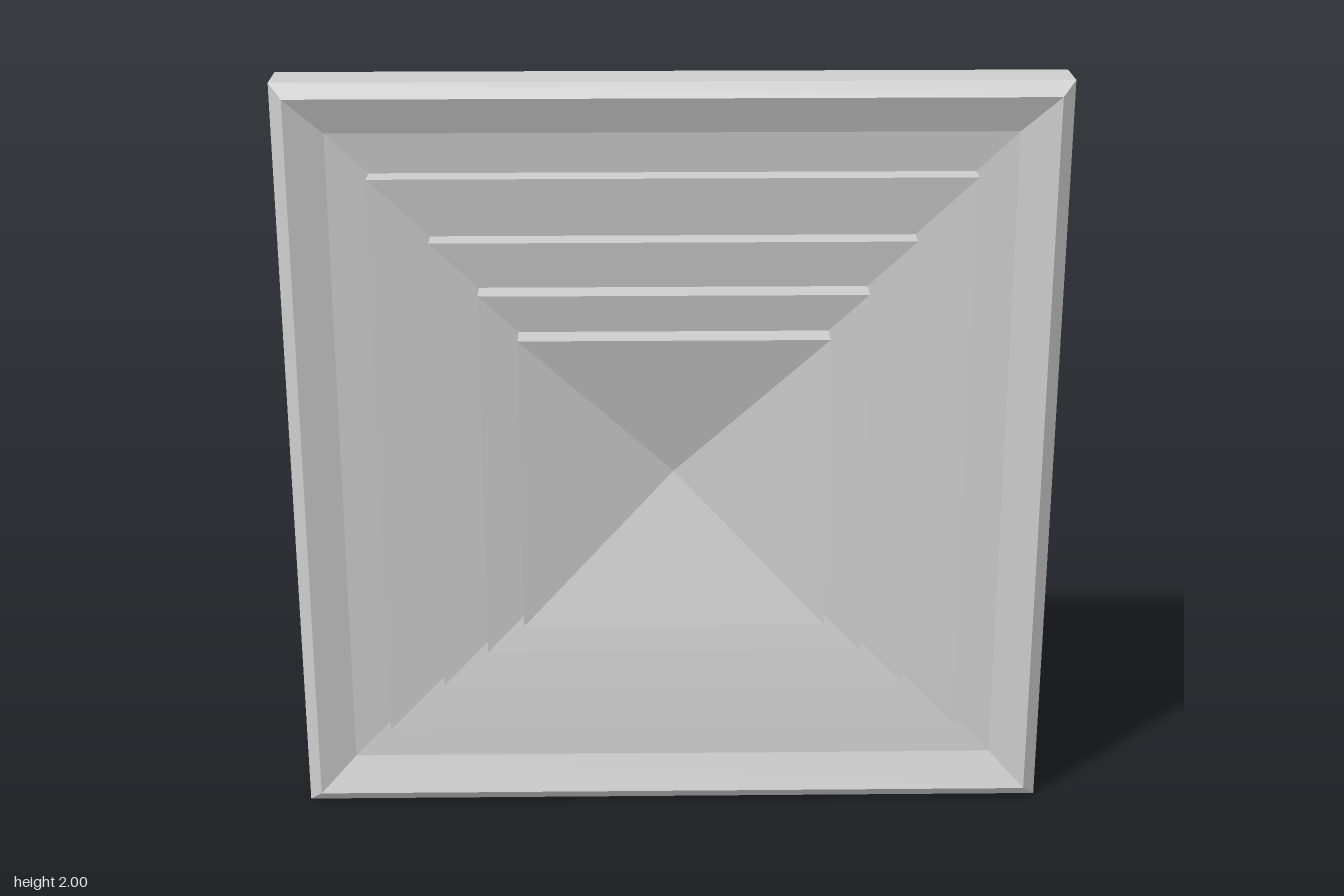
import * as THREE from 'three';

const stone = new THREE.MeshStandardMaterial({ color: 0xcccccc, flatShading: true });
stone.name = 'light grey';

// Square turning: sweeps a profile of [half width, depth z], back to front, around the z axis
function squareRing(name, profile) {
  const points = profile.map(([half, z]) => new THREE.Vector2(half * Math.SQRT2, z));
  const geometry = new THREE.LatheGeometry(points, 4, Math.PI / 4)
    .rotateX(Math.PI / 2)
    .toNonIndexed();
  geometry.computeVertexNormals();
  const mesh = new THREE.Mesh(geometry, stone);
  mesh.name = name;
  mesh.position.y = 1;
  return mesh;
}

export function createModel() {
  const group = new THREE.Group();
  group.name = 'steppedPanel';

  // Slab with chamfered rim and a two-slope dished border
  group.add(squareRing('slabAndRim', [
    [0, -0.16], [1, -0.16], [1, -0.035], [0.965, 0], [0.87, -0.041], [0.765, -0.055],
  ]));

  // Stepped tiers: upright wall, then a face sloping inward to the next wall
  const tiers = [
    { half: 0.765, foot: -0.055, top: 0.01 },
    { half: 0.612, foot: -0.015, top: 0.052 },
    { half: 0.49, foot: 0.03, top: 0.106 },
    { half: 0.39, foot: 0.084, top: 0.16 },
  ];
  const centre = { half: 0, foot: 0.05 };
  tiers.forEach((tier, i) => {
    const next = tiers[i + 1] ?? centre;
    group.add(squareRing(i < 3 ? `tier${i + 1}` : 'sunkenCentre', [
      [tier.half, tier.foot], [tier.half, tier.top], [next.half, next.foot],
    ]));
  });

  return group;
}
